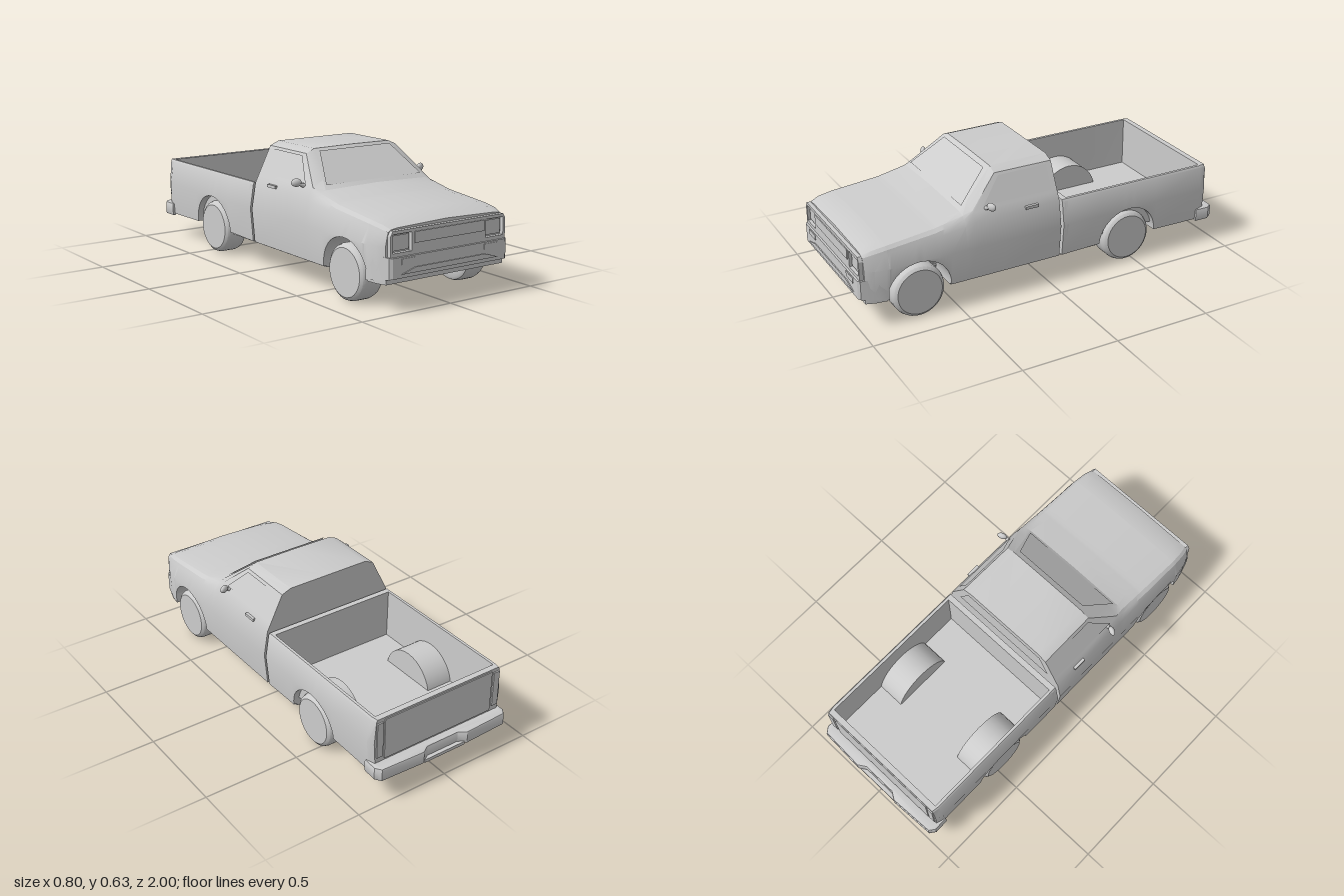
import * as THREE from 'three';
import { toCreasedNormals } from 'three/addons/utils/BufferGeometryUtils.js';

const FRONT_AXLE = 0.70, REAR_AXLE = -0.46, HUB = 0.135, ARCH = 0.165, SILL = 0.13;
const mat = new THREE.MeshStandardMaterial({ color: 0xcccccc, side: THREE.DoubleSide });

function add(parent, name, geo, x = 0, y = 0, z = 0) {
  const mesh = new THREE.Mesh(geo, mat);
  mesh.name = name;
  mesh.position.set(x, y, z);
  parent.add(mesh);
  return mesh;
}

// Box given by its limits
function box(parent, name, [x0, x1], [y0, y1], [z0, z1]) {
  return add(parent, name, new THREE.BoxGeometry(x1 - x0, y1 - y0, z1 - z0),
    (x0 + x1) / 2, (y0 + y1) / 2, (z0 + z1) / 2);
}

// Flat convex pane from its corners
function pane(parent, name, corners) {
  const index = [];
  for (let i = 1; i < corners.length - 1; i++) index.push(0, i, i + 1);
  const geo = new THREE.BufferGeometry();
  geo.setAttribute('position', new THREE.Float32BufferAttribute(corners.flat(), 3));
  geo.setIndex(index);
  geo.computeVertexNormals();
  return add(parent, name, geo);
}

// Symmetric outline from its +x half
function mirrorShape(half) {
  const pts = [...half, ...half.slice().reverse().map(([x, y]) => [-x, y])];
  return new THREE.Shape(pts.map(([x, y]) => new THREE.Vector2(x, y)));
}

function extrude(shape, depth, bevel = 0) {
  return new THREE.ExtrudeGeometry(shape, {
    depth, bevelEnabled: bevel > 0, bevelSize: bevel, bevelThickness: bevel, bevelOffset: -bevel, bevelSegments: 2,
  });
}

// Height of the lower edge of the body, raised over the wheels
function lowerEdge(z) {
  let y = SILL;
  for (const c of [FRONT_AXLE, REAR_AXLE]) {
    const d = z - c;
    if (Math.abs(d) < ARCH) y = Math.max(y, HUB + Math.sqrt(ARCH * ARCH - d * d));
  }
  return y;
}

// Body shell lofted along z.
// Row: z, sill x, bulge x, belt x y, shoulder x y, upper edge x y, top edge x y, centre y
function shell(rows, capped) {
  const zs = rows.map((r) => r[0]);
  const [first, last] = [zs[0], zs[zs.length - 1]];
  for (const c of [FRONT_AXLE, REAR_AXLE]) {
    for (let i = 0; i <= 20; i++) zs.push(c - ARCH * Math.cos(i * Math.PI / 20));
  }
  const stations = [...new Set(zs)].filter((z) => z >= first && z <= last).sort((a, b) => a - b);
  const pos = [], index = [];
  let n = 0;
  for (const z of stations) {
    const k = Math.max(1, rows.findIndex((r) => r[0] >= z));
    const a = rows[k - 1], b = rows[k], t = (z - a[0]) / (b[0] - a[0]);
    const [, sx, mx, bx, by, x2, y2, x3, y3, x4, y4, yc] = a.map((v, i) => v + (b[i] - v) * t);
    const low = lowerEdge(z);
    const half = [[sx - 0.03, low], [sx + (mx - sx) * (low - SILL) / 0.17, low],
      [mx, Math.max(0.30, low + 0.004)], [bx, by], [x2, y2], [x3, y3], [x4, y4]];
    const section = [...half, [0, yc], ...half.slice().reverse().map(([x, y]) => [-x, y])];
    n = section.length;
    section.forEach(([x, y]) => pos.push(x, y, z));
  }
  for (let r = 0; r < stations.length - 1; r++) {
    for (let i = 0; i < n - 1; i++) {
      const a = r * n + i, b = a + n;
      index.push(a, a + 1, b, a + 1, b + 1, b);
    }
  }
  if (capped) {
    for (const [base, z, front] of [[0, first, false], [(stations.length - 1) * n, last, true]]) {
      const c = pos.length / 3;
      pos.push(0, 0.3, z);
      for (let i = 0; i < n; i++) {
        const p = base + i, q = base + (i + 1) % n;
        index.push(c, front ? p : q, front ? q : p);
      }
    }
  }
  const geo = new THREE.BufferGeometry();
  geo.setAttribute('position', new THREE.Float32BufferAttribute(pos, 3));
  geo.setIndex(index);
  return toCreasedNormals(geo, 0.4);
}

function buildCab(g) {
  add(g, 'cabAndHood', shell([
    [-0.06, 0.372, 0.387, 0.365, 0.43, 0.345, 0.47, 0.275, 0.61, 0.225, 0.63, 0.63],
    [0.25, 0.372, 0.387, 0.365, 0.43, 0.345, 0.47, 0.272, 0.61, 0.225, 0.63, 0.632],
    [0.40, 0.372, 0.387, 0.365, 0.42, 0.345, 0.465, 0.338, 0.475, 0.28, 0.505, 0.512],
    [0.45, 0.372, 0.386, 0.363, 0.41, 0.345, 0.44, 0.33, 0.455, 0.30, 0.465, 0.472],
    [0.60, 0.372, 0.385, 0.36, 0.39, 0.35, 0.41, 0.33, 0.425, 0.28, 0.435, 0.442],
    [0.85, 0.37, 0.38, 0.355, 0.37, 0.35, 0.385, 0.335, 0.40, 0.28, 0.41, 0.418],
    [0.92, 0.36, 0.368, 0.35, 0.36, 0.345, 0.375, 0.33, 0.39, 0.28, 0.40, 0.405],
    [0.965, 0.345, 0.35, 0.34, 0.35, 0.335, 0.365, 0.32, 0.375, 0.28, 0.38, 0.388],
  ], true));
  // Glass
  pane(g, 'windshield', [[0.285, 0.486, 0.434], [0.212, 0.621, 0.276], [-0.212, 0.621, 0.276], [-0.285, 0.486, 0.434]]);
  pane(g, 'rearWindow', [[-0.30, 0.48, -0.064], [-0.24, 0.605, -0.064], [0.24, 0.605, -0.064], [0.30, 0.48, -0.064]]);
  for (const s of [1, -1]) {
    const side = [[-0.03, 0.485], [0.345, 0.485], [0.235, 0.6], [-0.03, 0.6]];
    pane(g, 'sideWindow', side.map(([z, y]) => [s * (0.349 - (y - 0.47) / 2), y, z]));
    box(g, 'doorHandle', s > 0 ? [0.355, 0.373] : [-0.373, -0.355], [0.428, 0.443], [0.06, 0.13]);
    // Door mirror on a short stalk
    const mirror = add(g, 'doorMirror', new THREE.SphereGeometry(1, 16, 10), s * 0.377, 0.49, 0.32);
    mirror.scale.set(0.026, 0.02, 0.014);
    mirror.rotation.y = s * 0.4;
    const stalk = add(g, 'mirrorStalk', new THREE.CylinderGeometry(0.006, 0.012, 0.04, 8), s * 0.353, 0.478, 0.33);
    stalk.rotation.z = -s * 1.2;
  }
}

function buildNose(g) {
  // Grille panel with openings for the headlights
  const panel = mirrorShape([[0.338, 0.25], [0.338, 0.35], [0.325, 0.372]]);
  for (const s of [1, -1]) {
    panel.holes.push(new THREE.Path([[0.218, 0.272], [0.325, 0.272], [0.325, 0.357], [0.218, 0.357]]
      .map(([x, y]) => new THREE.Vector2(s * x, y))));
    const x = (a, b) => (s > 0 ? [a, b] : [-b, -a]);
    box(g, 'headlight', x(0.226, 0.317), [0.28, 0.349], [0.96, 0.973]);
    box(g, 'foglight', x(0.20, 0.283), [0.22, 0.246], [0.98, 0.998]);
  }
  add(g, 'grillePanel', extrude(panel, 0.025), 0, 0, 0.96);
  box(g, 'grilleBar', [-0.205, 0.205], [0.306, 0.357], [0.97, 0.99]);
  // Bumper wraps the corners, its underside rising to the front
  const plan = mirrorShape([[0.372, 0.855], [0.368, 0.90], [0.345, 0.985], [0.33, 0.995]]);
  const bumper = extrude(plan, 0.13).rotateX(Math.PI / 2);
  const p = bumper.attributes.position;
  for (let i = 0; i < p.count; i++) {
    const z = p.getZ(i);
    p.setY(i, p.getY(i) > -0.01 ? 0.262 - (z - 0.855) * 0.06 : 0.135 + (z - 0.855) * 0.17);
  }
  add(g, 'frontBumper', toCreasedNormals(bumper, 0.3));
  add(g, 'bumperLip', extrude(mirrorShape([[0.285, 0.176], [0.205, 0.2]]), 0.02), 0, 0, 0.98);
}

function buildBed(g) {
  const row = [0.372, 0.387, 0.368, 0.42, 0.362, 0.43, 0.348, 0.43, 0.345, 0.17, 0.17];
  add(g, 'bedSidesAndFloor', shell([
    [-0.935, 0.362, 0.372, 0.362, 0.42, 0.356, 0.43, 0.346, 0.43, 0.343, 0.17, 0.17],
    [-0.90, ...row], [-0.075, ...row]], false));
  add(g, 'bedFrontWall', extrude(mirrorShape([[0.372, 0.13], [0.387, 0.30], [0.368, 0.42], [0.362, 0.43]]), 0.03), 0, 0, -0.105);
  add(g, 'tailgate', extrude(mirrorShape([[0.362, 0.14], [0.372, 0.30], [0.362, 0.42], [0.356, 0.43]]), 0.03), 0, 0, -0.935);
  box(g, 'tailgatePanel', [-0.315, 0.315], [0.20, 0.42], [-0.94, -0.93]);
  for (const s of [1, -1]) {
    box(g, 'tailLight', s > 0 ? [0.326, 0.36] : [-0.36, -0.326], [0.22, 0.41], [-0.942, -0.93]);
  }
  // Rear bumper with a recess for the plate
  const plan = mirrorShape([[0.355, -0.925], [0.365, -0.885], [0.385, -0.885], [0.387, -0.96],
    [0.365, -0.99], [0.13, -1.0], [0.09, -0.975]].map(([x, z]) => [x, z]));
  add(g, 'rearBumper', toCreasedNormals(extrude(plan, 0.05, 0.01).rotateX(Math.PI / 2), 0.5), 0, 0.18, 0);
  box(g, 'bumperStep', [-0.12, 0.12], [0.118, 0.135], [-0.995, -0.93]);
}

function buildUnderside(g) {
  box(g, 'cabFloor', [-0.355, 0.355], [0.122, 0.14], [-0.06, 0.535]);
  box(g, 'engineTray', [-0.21, 0.21], [0.155, 0.17], [0.535, 0.96]);
  box(g, 'bedUnderside', [-0.355, 0.355], [0.122, 0.14], [-0.295, -0.075]);
  box(g, 'rearTray', [-0.355, 0.355], [0.14, 0.16], [-0.93, -0.63]);
  box(g, 'axleTray', [-0.2, 0.2], [0.155, 0.168], [-0.63, -0.295]);
  const shaft = add(g, 'driveShaft', new THREE.CylinderGeometry(0.014, 0.014, FRONT_AXLE - REAR_AXLE, 12),
    0, 0.125, (FRONT_AXLE + REAR_AXLE) / 2);
  shaft.rotation.x = Math.PI / 2;
}

function buildWheels(g) {
  const profile = [[0, 0], [0.08, 0], [0.086, -0.0625], [0.115, -0.0625], [0.128, -0.055], [0.135, -0.035],
    [0.135, 0.035], [0.129, 0.052], [0.115, 0.0625], [0, 0.0625]].map(([r, y]) => new THREE.Vector2(r, y));
  const tyre = toCreasedNormals(new THREE.LatheGeometry(profile, 36), 0.6);
  const housing = new THREE.CylinderGeometry(ARCH, ARCH, 0.15, 16, 1, true, 0, Math.PI).rotateZ(Math.PI / 2);
  const wall = new THREE.CircleGeometry(ARCH, 16, 0, Math.PI).rotateY(Math.PI / 2);
  for (const [end, z] of [['front', FRONT_AXLE], ['rear', REAR_AXLE]]) {
    for (const s of [1, -1]) {
      add(g, end + 'Wheel', tyre, s * 0.3125, HUB, z).rotation.z = -s * Math.PI / 2;
      add(g, end + 'WheelHousing', housing, s * 0.277, HUB, z);
      add(g, end + 'HousingWall', wall, s * 0.202, HUB, z);
    }
    add(g, end + 'Axle', new THREE.CylinderGeometry(0.025, 0.025, 0.6, 16), 0, HUB, z).rotation.z = Math.PI / 2;
  }
  // Spare slung flat under the bed
  const spare = add(g, 'spareWheel', tyre, 0, 0.108, -0.775);
  spare.scale.y = 0.6;
  spare.rotation.x = Math.PI;
}

export function createModel() {
  const model = new THREE.Group();
  model.name = 'pickupTruck';
  const parts = { cab: buildCab, nose: buildNose, bed: buildBed, underside: buildUnderside, wheels: buildWheels };
  for (const [name, build] of Object.entries(parts)) {
    const g = new THREE.Group();
    g.name = name;
    build(g);
    model.add(g);
  }
  return model;
}
